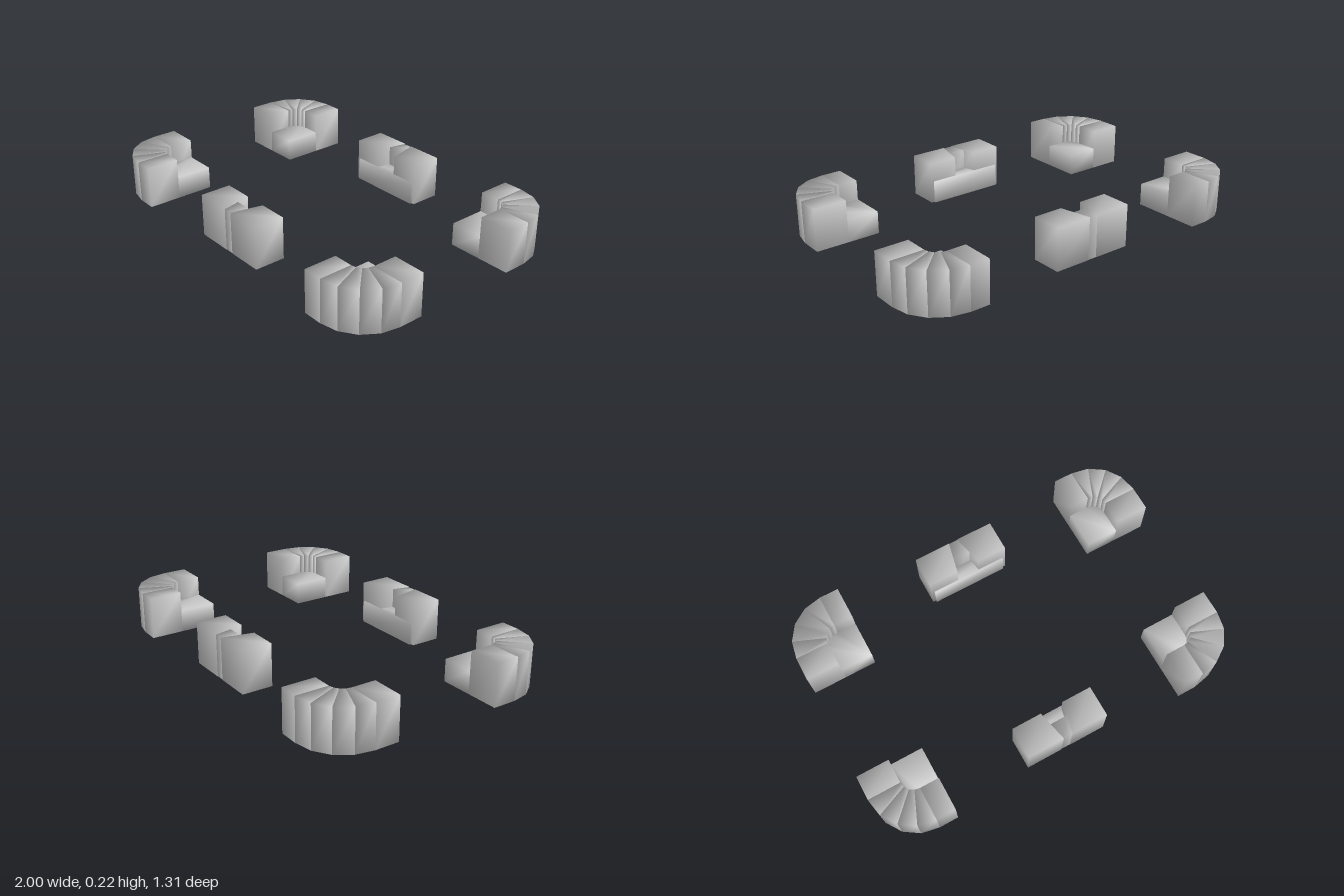
import * as THREE from 'three';

const material = new THREE.MeshStandardMaterial({ color: 0xcccccc });
const HEIGHT = 0.225, LEDGE = 0.12;

// Upright prism over a convex [x, z] outline; corners are shared so shading is soft.
function prism(name, outline, height, sx, sz) {
  let pts = outline.map(([x, z]) => [x * sx, z * sz]);
  const n = pts.length;
  let area = 0;
  pts.forEach(([x, z], i) => {
    const [x2, z2] = pts[(i + 1) % n];
    area += x * z2 - x2 * z;
  });
  if (area > 0) pts = pts.reverse();
  const positions = [], index = [];
  for (const y of [0, height]) for (const [x, z] of pts) positions.push(x, y, z);
  for (let i = 0; i < n; i++) {
    const j = (i + 1) % n;
    index.push(i, j, n + j, i, n + j, n + i);
  }
  for (let i = 1; i < n - 1; i++) {
    index.push(0, i + 1, i, n, n + i, n + i + 1);
  }
  const geometry = new THREE.BufferGeometry();
  geometry.setAttribute('position', new THREE.Float32BufferAttribute(positions, 3));
  geometry.setIndex(index);
  geometry.computeVertexNormals();
  const mesh = new THREE.Mesh(geometry, material);
  mesh.name = name;
  return mesh;
}

const rect = (x0, x1, z0, z1) => [[x0, z0], [x1, z0], [x1, z1], [x0, z1]];

// Curved corner: two straight ends, four wedges between them and a low inner ledge.
function corner(sx, sz) {
  const group = new THREE.Group();
  group.name = 'cornerBlock';
  const inner = [], outer = [];
  for (let i = 0; i <= 4; i++) {
    const a = (i / 4) * Math.PI / 2;
    const s = Math.sin(a), c = Math.cos(a);
    inner.push([0.755 + 0.07 * s, 0.41 + 0.07 * c]);
    outer.push([0.755 + 0.245 * s, 0.41 + 0.245 * c]);
  }
  group.add(prism('endBlock', rect(0.652, 0.755, 0.48, 0.655), HEIGHT, sx, sz));
  group.add(prism('sideBlock', rect(0.825, 1, 0.282, 0.41), HEIGHT, sx, sz));
  for (let i = 0; i < 4; i++) {
    group.add(prism('curveWedge', [inner[i], outer[i], outer[i + 1], inner[i + 1]], HEIGHT, sx, sz));
  }
  group.add(prism('innerLedge', [[0.652, 0.282], [0.652, 0.48], ...inner, [0.825, 0.282]], LEDGE, sx, sz));
  return group;
}

// Straight middle: two blocks with a tapering gap, a filler and a low ledge.
function middle(sz) {
  const group = new THREE.Group();
  group.name = 'middleBlock';
  for (const sx of [-1, 1]) {
    group.add(prism('block', [[0.062, 0.44], [0.222, 0.44], [0.222, 0.605], [0.025, 0.605]], HEIGHT, sx, sz));
  }
  group.add(prism('gapFiller', [[-0.046, 0.51], [0.046, 0.51], [0.025, 0.603], [-0.025, 0.603]], HEIGHT - 0.002, 1, sz));
  group.add(prism('frontLedge', rect(-0.205, 0.205, 0.43, 0.51), LEDGE, 1, sz));
  return group;
}

export function createModel() {
  const model = new THREE.Group();
  model.name = 'tableEdgeBlocks';
  for (const sz of [-1, 1]) {
    for (const sx of [-1, 1]) model.add(corner(sx, sz));
    model.add(middle(sz));
  }
  return model;
}
